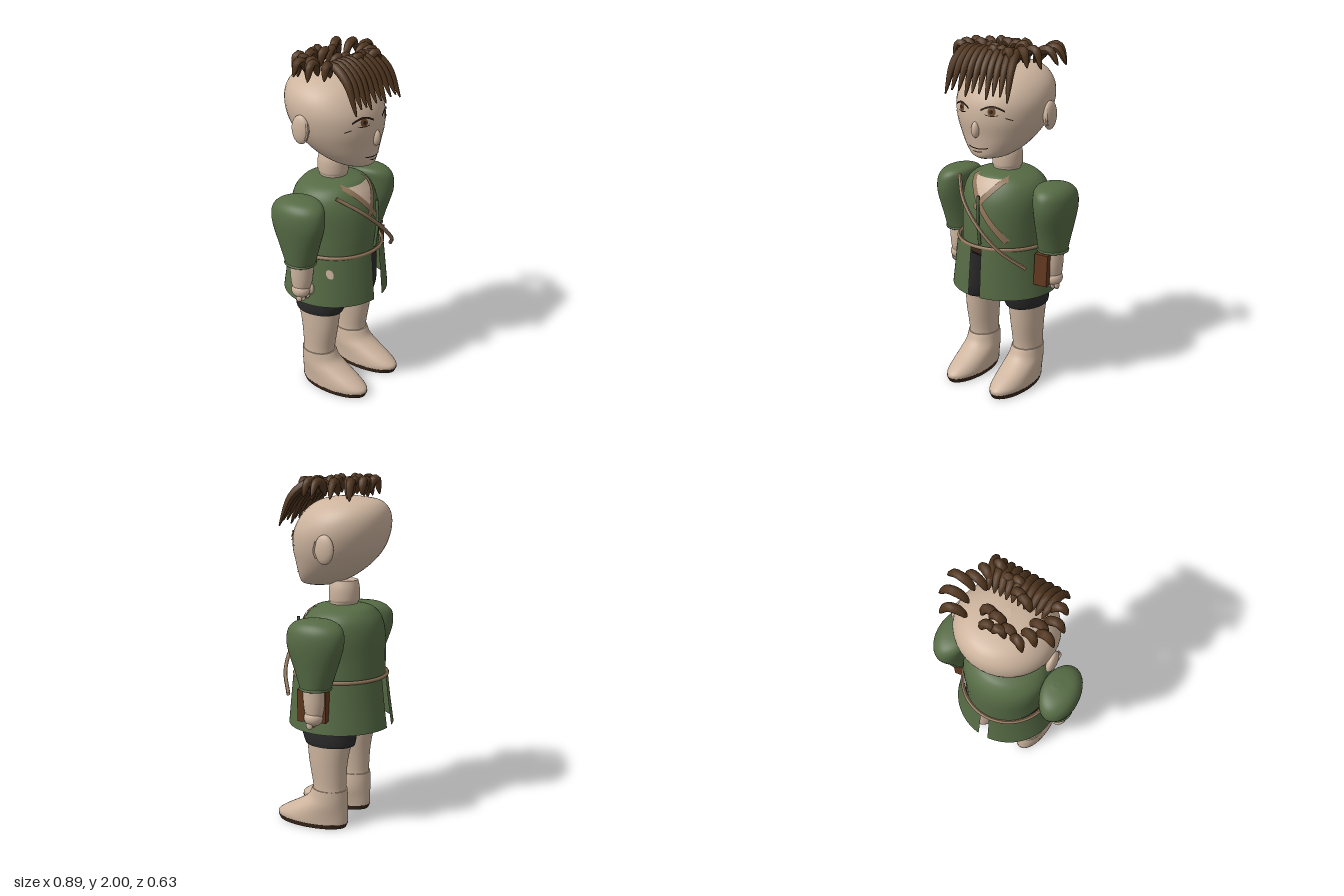
import * as THREE from 'three';

const mat = (name, color, double) => {
  const m = new THREE.MeshStandardMaterial({ color });
  m.name = name;
  if (double) m.side = THREE.DoubleSide;
  return m;
};

// Smooth stack of rings from sections [y, centreX, halfWidth, zFront, zBack]
function rings(sections, steps = 4) {
  const a = new THREE.CatmullRomCurve3(sections.map(s => new THREE.Vector3(s[0], s[1], s[2])), false, 'catmullrom');
  const b = new THREE.CatmullRomCurve3(sections.map(s => new THREE.Vector3(s[3], s[4], 0)), false, 'catmullrom');
  const n = (sections.length - 1) * steps;
  return Array.from({ length: n + 1 }, (_, i) => {
    const p = a.getPoint(i / n), q = b.getPoint(i / n);
    return { y: p.x, cx: p.y, rx: p.z, cz: (q.x + q.y) / 2, rz: (q.x - q.y) / 2 };
  });
}

// Skin over rings; angle 0 faces front, and a partial arc leaves the shape open
function loft(rs, from = 0, to = Math.PI * 2, cols = 40) {
  const pos = [], idx = [], full = to - from > 6.28, w = full ? cols : cols + 1;
  const ring = r => {
    for (let j = 0; j < w; j++) {
      const t = from + (to - from) * j / cols;
      pos.push(r.cx + r.rx * Math.sin(t), r.y, r.cz + r.rz * Math.cos(t));
    }
  };
  rs.forEach(ring);
  for (let i = 0; i < rs.length - 1; i++) for (let j = 0; j < cols; j++) {
    const k = (j + 1) % w, a = i * w + j, b = i * w + k;
    idx.push(a, b, b + w, a, b + w, a + w);
  }
  if (full) [rs[0], rs[rs.length - 1]].forEach((r, top) => {
    const base = pos.length / 3;
    ring(r);
    pos.push(r.cx, r.y, r.cz);
    for (let j = 0; j < w; j++) {
      const a = base + j, b = base + (j + 1) % w;
      idx.push(...(top ? [a, b, base + w] : [b, a, base + w]));
    }
  });
  const g = new THREE.BufferGeometry();
  g.setAttribute('position', new THREE.Float32BufferAttribute(pos, 3));
  g.setIndex(idx);
  g.computeVertexNormals();
  return g;
}

// Depth of the front surface of a ring stack at x, y
function frontZ(rs, x, y) {
  let i = 0;
  while (i < rs.length - 2 && rs[i + 1].y < y) i++;
  const a = rs[i], b = rs[i + 1], t = THREE.MathUtils.clamp((y - a.y) / (b.y - a.y), 0, 1);
  const mix = k => a[k] + (b[k] - a[k]) * t;
  return mix('cz') + mix('rz') * Math.sqrt(Math.max(0, 1 - (x / mix('rx')) ** 2));
}

// Thin patch hugging the front of a ring stack; fn(u, v) gives [x, y]
function decal(rs, fn, lift = 0.005) {
  const g = new THREE.PlaneGeometry(1, 1, 20, 4), p = g.attributes.position, uv = g.attributes.uv;
  for (let i = 0; i < p.count; i++) {
    const [x, y] = fn(uv.getX(i), uv.getY(i));
    p.setXYZ(i, x, y, frontZ(rs, x, y) + lift);
  }
  g.computeVertexNormals();
  return g;
}
const disc = (cx, cy, rx, ry) => (u, v) => [cx + rx * v * Math.sin(u * 6.2832), cy + ry * v * Math.cos(u * 6.2832)];
const band = (x0, y0, x1, y1, w, bow = 0) => (u, v) => {
  const l = Math.hypot(x1 - x0, y1 - y0), o = (v - 0.5) * w, h = bow * Math.sin(u * Math.PI);
  return [x0 + (x1 - x0) * u - (y1 - y0) / l * o, y0 + (y1 - y0) * u + (x1 - x0) / l * o + h];
};

// Tube through points; radius may vary along its length
function tube(points, radius, closed = false, n = 14, sides = 8) {
  const curve = new THREE.CatmullRomCurve3(points.map(p => new THREE.Vector3(...p)), closed);
  const g = new THREE.TubeGeometry(curve, n, 1, sides, closed), p = g.attributes.position, v = new THREE.Vector3();
  for (let i = 0; i < p.count; i++) {
    const t = Math.floor(i / (sides + 1)) / n, c = curve.getPointAt(t);
    v.fromBufferAttribute(p, i).sub(c).multiplyScalar(typeof radius === 'function' ? radius(t) : radius).add(c);
    p.setXYZ(i, v.x, v.y, v.z);
  }
  g.computeVertexNormals();
  return g;
}

export function createModel() {
  const model = new THREE.Group();
  const skin = mat('skin', 0xcdb49e, true), green = mat('tunicGreen', 0x566b45, true), hair = mat('hairBrown', 0x51361f);
  const dark = mat('shortsBlack', 0x2b2b2c), tan = mat('strapTan', 0x8f7459, true), leather = mat('leather', 0x63391f);
  const sole = mat('soleBrown', 0x3c281b), ink = mat('faceLine', 0x2a1d16, true), iris = mat('irisBrown', 0x6b4526, true);
  const add = (name, g, m) => {
    const mesh = new THREE.Mesh(g, m);
    mesh.name = name;
    model.add(mesh);
    return mesh;
  };
  const ball = (name, m, x, y, z, rx, ry, rz) => {
    const b = add(name, new THREE.SphereGeometry(1, 24, 16), m);
    b.position.set(x, y, z);
    b.scale.set(rx, ry, rz);
    return b;
  };

  // Head and neck
  const head = rings([[1.382, 0, 0.04, 0.2, 0.08], [1.4, 0, 0.105, 0.228, 0], [1.45, 0, 0.17, 0.237, -0.1],
    [1.52, 0, 0.222, 0.247, -0.19], [1.6, 0, 0.258, 0.26, -0.255], [1.69, 0, 0.274, 0.252, -0.29],
    [1.77, 0, 0.257, 0.212, -0.296], [1.83, 0, 0.21, 0.158, -0.275], [1.868, 0, 0.14, 0.09, -0.225], [1.887, 0, 0.03, 0, -0.12]]);
  add('head', loft(head), skin);
  add('neck', loft(rings([[1.24, 0, 0.078, 0.05, -0.11], [1.29, 0, 0.078, 0.05, -0.11], [1.31, 0, 0.085, 0.055, -0.12],
    [1.37, 0, 0.086, 0.055, -0.12], [1.42, 0, 0.075, 0.045, -0.11]])), skin);
  ball('nose', skin, 0, 1.555, 0.255, 0.023, 0.045, 0.024);
  add('mouth', decal(head, band(-0.065, 1.455, 0.065, 1.455, 0.006, -0.008)), ink);
  add('lowerLip', decal(head, band(-0.03, 1.432, 0.03, 1.432, 0.005, -0.004)), ink);
  for (const s of [-1, 1]) {
    add('iris', decal(head, disc(s * 0.1, 1.663, 0.021, 0.024)), iris);
    add('pupil', decal(head, disc(s * 0.1, 1.663, 0.009, 0.011), 0.008), ink);
    add('upperLid', decal(head, band(s * 0.04, 1.667, s * 0.165, 1.667, 0.01, 0.022), 0.008), ink);
    add('lowerLid', decal(head, band(s * 0.065, 1.645, s * 0.135, 1.645, 0.004, -0.006)), ink);
    add('cheekCrease', decal(head, band(s * 0.165, 1.63, s * 0.195, 1.618, 0.005)), ink);
    ball('ear', skin, s * 0.278, 1.617, -0.043, 0.025, 0.08, 0.056);
    add('earFold', tube([[s * 0.29, 1.57, 0.0], [s * 0.293, 1.61, 0.013], [s * 0.285, 1.66, 0.003]], 0.006), skin);
  }

  // Fringe sweeping forward over the forehead
  for (let i = 0; i < 10; i++) {
    const t = i / 9, r = -0.17 + 0.3 * t, e = -0.2 + 0.415 * t, dip = 0.03 * Math.abs(Math.sin(i * 2.1));
    add('fringeLock', tube([[r, 1.91, 0.02], [r + (e - r) * 0.3, 1.962, 0.09], [r + (e - r) * 0.7, 1.895, 0.19], [e, 1.725 + dip, 0.262]],
      u => 0.004 + 0.023 * Math.sin(Math.PI * Math.pow(u, 0.8)) ** 0.7 * (1 - u * 0.3)), hair);
  }
  // Crown tufts as root x, z and tip x, z
  const tufts = [[0.15, -0.15, 0.28, -0.19], [0.18, -0.08, 0.335, -0.105], [0.19, -0.01, 0.348, -0.005], [0.14, 0.02, 0.27, 0.035],
    [0.13, 0.06, 0.23, 0.105], [-0.19, -0.06, -0.29, -0.075], [-0.14, -0.03, -0.23, -0.035], [-0.19, 0.01, -0.295, 0.02],
    [-0.18, 0.08, -0.265, 0.105], [-0.13, -0.09, -0.21, -0.11], [-0.1, -0.14, -0.17, -0.17], [-0.03, -0.125, -0.11, -0.13],
    [0, -0.155, -0.06, -0.145], [0.06, -0.165, 0, -0.15], [-0.03, -0.095, 0.05, -0.1], [0.02, -0.08, 0.1, -0.095],
    [-0.1, 0.03, -0.02, 0.055], [-0.06, 0.06, 0.02, 0.06], [-0.02, 0.11, 0.05, 0.12], [0.03, 0.11, 0.1, 0.1], [0.1, 0.13, 0.17, 0.155]];
  tufts.forEach(([x, z, X, Z], i) => add('hairTuft', tube([[x, 1.895, z], [x + (X - x) * 0.25, 1.958, z + (Z - z) * 0.25],
    [x + (X - x) * 0.65, 1.972, z + (Z - z) * 0.65], [X, 1.875 + 0.012 * (i % 3), Z]],
  u => 0.003 + 0.022 * Math.sin(Math.PI * Math.pow(u, 0.85)) ** 0.7), hair));

  // Tunic body with open collar and lapels
  const torso = rings([[0.87, 0, 0.245, 0.237, -0.27], [1, 0, 0.245, 0.237, -0.27], [1.12, 0, 0.25, 0.222, -0.265],
    [1.2, 0, 0.237, 0.19, -0.245], [1.25, 0, 0.195, 0.155, -0.21], [1.275, 0, 0.13, 0.12, -0.175], [1.288, 0, 0.06, 0.05, -0.11]]);
  add('tunicBody', loft(torso), green);
  add('chest', decal(torso, (u, v) => [(u - 0.5) * 0.2 * v, 1.125 + 0.135 * v], 0.005), skin);
  add('rightLapel', decal(torso, band(-0.11, 1.265, 0.16, 0.925, 0.032), 0.009), tan);
  add('leftLapel', decal(torso, band(0.11, 1.265, -0.03, 1.1, 0.032), 0.012), tan);
  add('frontPiping', tube([[0.015, 1.185, 0.255], [0.015, 1.05, 0.262], [0.015, 0.9, 0.245]], 0.009), green);
  add('shoulderCord', tube([[-0.21, 1.24, 0.14], [-0.1, 1.14, 0.245], [0.03, 1.02, 0.285], [0.16, 0.9, 0.265], [0.285, 0.795, 0.18]], 0.011, false, 30), tan);
  const beltPath = Array.from({ length: 24 }, (_, i) => [0.268 * Math.sin(i * Math.PI / 12), 0.882, -0.012 + 0.265 * Math.cos(i * Math.PI / 12)]);
  add('belt', tube(beltPath, 0.011, true, 60), tan);

  // Skirt in two halves, slit at front and back
  const skirt = rings([[0.882, 0, 0.272, 0.262, -0.28], [0.74, 0, 0.289, 0.275, -0.296], [0.592, 0, 0.31, 0.287, -0.316]].reverse());
  add('leftSkirt', loft(skirt, 0.13, Math.PI - 0.1), green);
  add('rightSkirt', loft(skirt, Math.PI + 0.1, Math.PI * 2 - 0.13), green);
  add('skirtToggle', decal(skirt, disc(-0.25, 0.79, 0.01, 0.028)), skin);

  // Shorts seat and waistband
  add('shortsSeat', loft(rings([[0.76, 0, 0.18, 0.12, -0.15], [0.8, 0, 0.235, 0.18, -0.2], [0.87, 0, 0.24, 0.2, -0.22]])), dark);
  add('waistband', loft(rings([[0.82, 0, 0.243, 0.207, -0.226], [0.872, 0, 0.243, 0.207, -0.226]])), sole);

  // Pouch at the left hip
  const pouch = add('pouch', new THREE.BoxGeometry(0.08, 0.185, 0.165), leather);
  pouch.position.set(0.31, 0.765, 0.008);
  pouch.rotation.set(0, 0.12, -0.04);

  for (const s of [-1, 1]) {
    // Sleeves, forearms and hands
    add('sleeve', loft(rings([[0.862, s * 0.332, 0.082, 0.07, -0.1], [0.96, s * 0.336, 0.092, 0.1, -0.135], [1.09, s * 0.343, 0.102, 0.142, -0.18],
      [1.17, s * 0.34, 0.103, 0.145, -0.185], [1.215, s * 0.33, 0.095, 0.125, -0.16], [1.24, s * 0.32, 0.07, 0.08, -0.11], [1.25, s * 0.31, 0.02, 0, -0.04]])), green);
    add('cuff', tube(Array.from({ length: 16 }, (_, i) => [s * 0.332 + 0.083 * Math.sin(i * Math.PI / 8), 0.866, -0.015 + 0.086 * Math.cos(i * Math.PI / 8)]), 0.007, true, 40), green);
    add('forearm', loft(rings([[0.71, s * 0.335, 0.05, 0.04, -0.06], [0.75, s * 0.332, 0.058, 0.05, -0.07], [0.8, s * 0.33, 0.064, 0.055, -0.075], [0.88, s * 0.33, 0.066, 0.055, -0.075]])), skin);
    ball('hand', skin, s * 0.345, 0.7, -0.008, 0.05, 0.047, 0.055);
    for (let i = 0; i < 4; i++) ball('finger', skin, s * (0.315 + 0.02 * i), 0.662, 0.012 - 0.01 * (i % 2), 0.012, 0.025, 0.02);
    ball('thumb', skin, s * 0.3, 0.695, 0.03, 0.016, 0.035, 0.018);

    // Legs
    add('shortsLeg', loft(rings([[0.5, s * 0.155, 0.11, 0.128, -0.165], [0.53, s * 0.153, 0.118, 0.14, -0.17], [0.6, s * 0.15, 0.122, 0.155, -0.175], [0.79, s * 0.135, 0.125, 0.16, -0.18]])), dark);
    add('leg', loft(rings([[0.21, s * 0.163, 0.084, 0.078, -0.117], [0.27, s * 0.163, 0.084, 0.083, -0.115], [0.4, s * 0.163, 0.092, 0.105, -0.125], [0.54, s * 0.16, 0.1, 0.12, -0.155]])), skin);

    // Shoes
    add('shoe', loft(rings([[0.025, s * 0.16, 0.099, 0.315, -0.125], [0.05, s * 0.16, 0.1, 0.312, -0.127], [0.085, s * 0.16, 0.1, 0.262, -0.127],
      [0.13, s * 0.16, 0.099, 0.18, -0.126], [0.175, s * 0.161, 0.094, 0.115, -0.125], [0.23, s * 0.163, 0.089, 0.086, -0.122]])), skin);
    add('shoeSole', loft(rings([[0, s * 0.16, 0.094, 0.305, -0.115], [0.026, s * 0.16, 0.1, 0.318, -0.127]])), sole);
  }
  return model;
}
